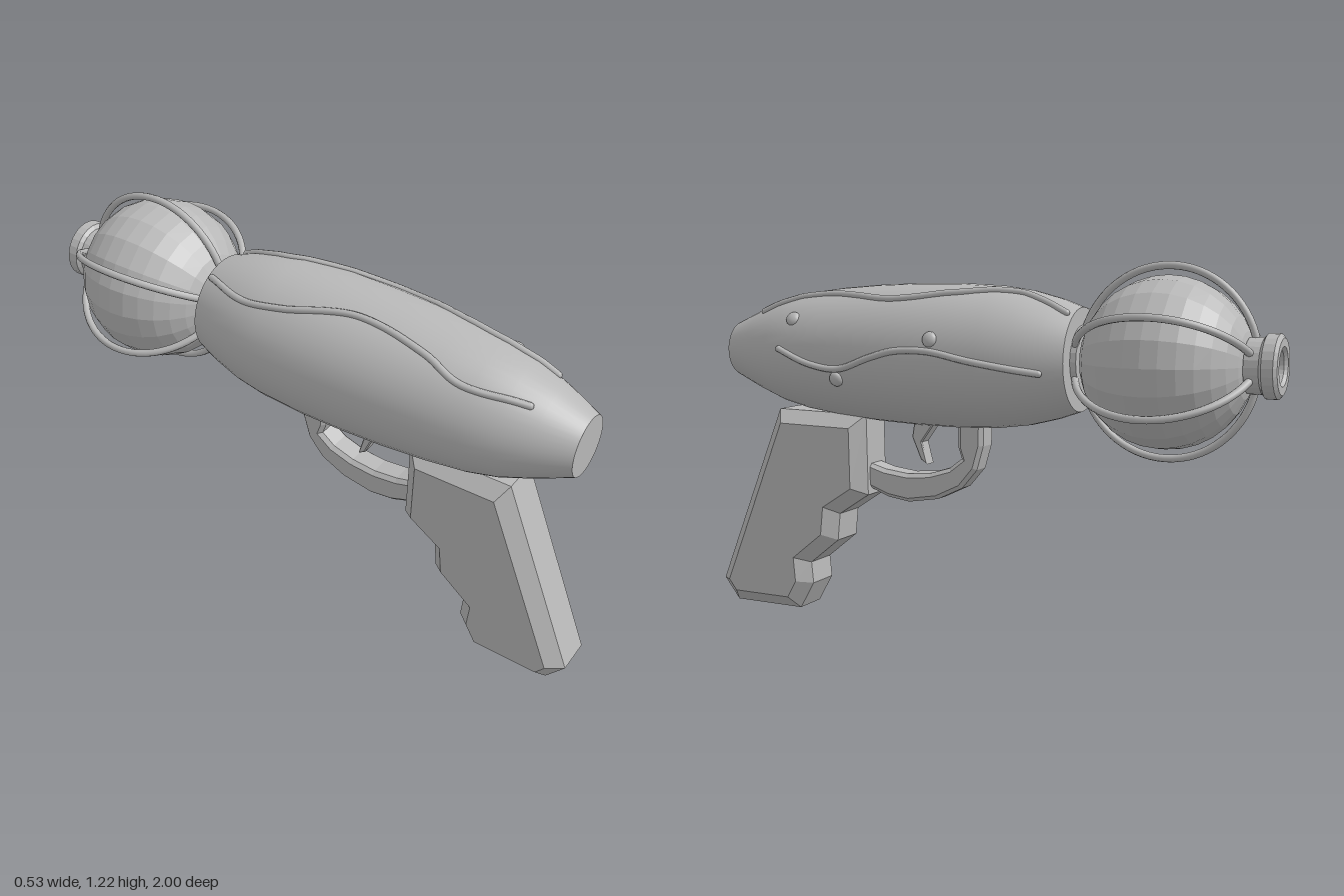
import * as THREE from 'three';

const AXIS_Y = 0.913;
const BULB_Z = -0.645;

// Body outline as [z, radius], back to front
const PROFILE = [
  [-0.37, 0.165], [-0.3, 0.19], [-0.2, 0.216], [-0.1, 0.23], [0.05, 0.237], [0.2, 0.236],
  [0.35, 0.23], [0.5, 0.218], [0.62, 0.203], [0.72, 0.18], [0.82, 0.143], [0.93, 0.096],
];

function bodyRadius(z) {
  for (let i = 1; i < PROFILE.length; i++) {
    const [z0, r0] = PROFILE[i - 1], [z1, r1] = PROFILE[i];
    if (z <= z1) return r0 + (r1 - r0) * (z - z0) / (z1 - z0);
  }
  return PROFILE[PROFILE.length - 1][1];
}

export function createModel() {
  const group = new THREE.Group();
  const grey = new THREE.MeshStandardMaterial({ color: 0xb8b8b8 });
  grey.name = 'grey';
  const flatGrey = grey; // one material, faceting comes from unshared normals

  function add(name, geometry, parent = group) {
    const mesh = new THREE.Mesh(geometry, flatGrey);
    mesh.name = name;
    parent.add(mesh);
    return mesh;
  }

  function faceted(geometry) {
    const g = geometry.toNonIndexed();
    g.computeVertexNormals();
    return g;
  }

  // Revolve [z, radius] points around the barrel axis
  function revolve(points, segments) {
    const g = new THREE.LatheGeometry(points.map(([z, r]) => new THREE.Vector2(r, z)), segments);
    return g.rotateX(Math.PI / 2).translate(0, AXIS_Y, 0);
  }

  // Extrude a side outline of [z, y] points, centred on x = 0
  function sidePlate(points, halfWidth, bevel) {
    const shape = new THREE.Shape(points.map(([z, y]) => new THREE.Vector2(z, y)));
    const depth = 2 * (halfWidth - bevel);
    const g = new THREE.ExtrudeGeometry(shape, {
      depth, bevelEnabled: bevel > 0, bevelThickness: bevel, bevelSize: bevel,
      bevelOffset: -bevel, bevelSegments: 1,
    });
    return g.translate(0, 0, -depth / 2).rotateY(-Math.PI / 2);
  }

  // Body with flat ends
  add('body', revolve(PROFILE, 40));
  add('bodyFrontCap', new THREE.CircleGeometry(0.096, 40).translate(0, AXIS_Y, 0.93));
  add('bodyBackCap', new THREE.CircleGeometry(0.165, 40).rotateY(Math.PI).translate(0, AXIS_Y, -0.37));

  // Bulb and its cage
  add('bulb', faceted(new THREE.SphereGeometry(0.267, 20, 16).rotateX(Math.PI / 2)
    .translate(0, AXIS_Y, BULB_Z)));
  add('bulbCollar', faceted(revolve([[-0.39, 0], [-0.39, 0.11], [-0.365, 0.11]], 24)));
  const arc = [];
  for (let i = 0; i <= 20; i++) {
    const a = THREE.MathUtils.degToRad(14 + 152 * i / 20);
    arc.push(new THREE.Vector3(0, 0.295 * Math.sin(a), 0.283 * Math.cos(a)));
  }
  const rod = new THREE.TubeGeometry(new THREE.CatmullRomCurve3(arc), 32, 0.012, 8);
  const cage = new THREE.Group();
  cage.name = 'cage';
  cage.position.set(0, AXIS_Y, BULB_Z);
  group.add(cage);
  for (let i = 0; i < 6; i++) add('cageRod', rod, cage).rotation.z = i * Math.PI / 3;

  // Muzzle ring with a shallow hole
  add('muzzleRing', faceted(revolve([
    [-0.96, 0], [-0.96, 0.045], [-0.99, 0.05], [-1, 0.06], [-1, 0.085], [-0.99, 0.098],
    [-0.955, 0.098], [-0.945, 0.085], [-0.9, 0.085],
  ], 24)));

  // Grip with finger grooves
  add('grip', sidePlate([
    [0.94, 0], [1, 0.075], [0.74, 0.71], [0.39, 0.705], [0.385, 0.43], [0.5, 0.355],
    [0.51, 0.26], [0.622, 0.17], [0.615, 0.095], [0.67, 0],
  ].reverse(), 0.105, 0.045));

  // Trigger guard and trigger
  add('triggerGuard', sidePlate([
    [0.42, 0.462], [0.32, 0.425], [0.24, 0.414], [0.13, 0.432], [0.04, 0.475], [-0.015, 0.54],
    [-0.038, 0.62], [-0.04, 0.72], [0.052, 0.72], [0.052, 0.61], [0.04, 0.575], [0.085, 0.54],
    [0.16, 0.517], [0.245, 0.51], [0.33, 0.52], [0.42, 0.545],
  ].reverse(), 0.045, 0.013));
  add('trigger', sidePlate([
    [0.15, 0.7], [0.155, 0.675], [0.195, 0.62], [0.175, 0.545], [0.2, 0.56], [0.233, 0.635],
    [0.222, 0.7],
  ].reverse(), 0.025, 0.004));

  // Wavy veins lying on the body
  function vein(name, points) {
    const curve = new THREE.CatmullRomCurve3(points);
    // keep the tube on the surface between its points
    const snapped = curve.getPoints(40).map((p) => {
      const d = new THREE.Vector2(p.x, p.y - AXIS_Y).setLength(bodyRadius(p.z) + 0.002);
      return new THREE.Vector3(d.x, AXIS_Y + d.y, p.z);
    });
    const path = new THREE.CatmullRomCurve3(snapped);
    add(name, new THREE.TubeGeometry(path, 60, 0.011, 8));
    for (const t of [0, 1]) {
      const end = path.getPoint(t);
      add(name + 'End', new THREE.SphereGeometry(0.011, 8, 6).translate(end.x, end.y, end.z));
    }
  }
  const onTop = ([x, z]) =>
    new THREE.Vector3(x, AXIS_Y + Math.sqrt(bodyRadius(z) ** 2 - x * x), z);
  const onSide = ([z, y]) =>
    new THREE.Vector3(Math.sqrt(bodyRadius(z) ** 2 - (y - AXIS_Y) ** 2), y, z);

  vein('rightTopVein', [
    [-0.09, -0.35], [-0.152, -0.18], [-0.148, -0.03], [-0.095, 0.21], [-0.115, 0.45],
    [-0.14, 0.58], [-0.088, 0.78],
  ].map(onTop));
  vein('leftTopVein', [
    [0.088, -0.35], [0.065, -0.18], [0.115, 0.03], [0.143, 0.24], [0.095, 0.48],
    [0.08, 0.62], [0.082, 0.78],
  ].map(onTop));
  vein('leftSideVein', [
    [0.645, 0.93], [0.515, 0.885], [0.4, 0.873], [0.27, 0.915], [0.18, 0.938],
    [0.06, 0.94], [-0.075, 0.915], [-0.3, 0.88],
  ].map(onSide));

  // Small studs on the left side
  for (const spot of [[0.605, 1.03], [0.055, 0.978], [0.41, 0.838]]) {
    const p = onSide(spot);
    const stud = add('stud', new THREE.SphereGeometry(0.025, 12, 8).scale(1, 1, 0.6));
    stud.position.copy(p);
    stud.lookAt(p.x * 2, p.y * 2 - AXIS_Y, p.z);
  }

  return group;
}
